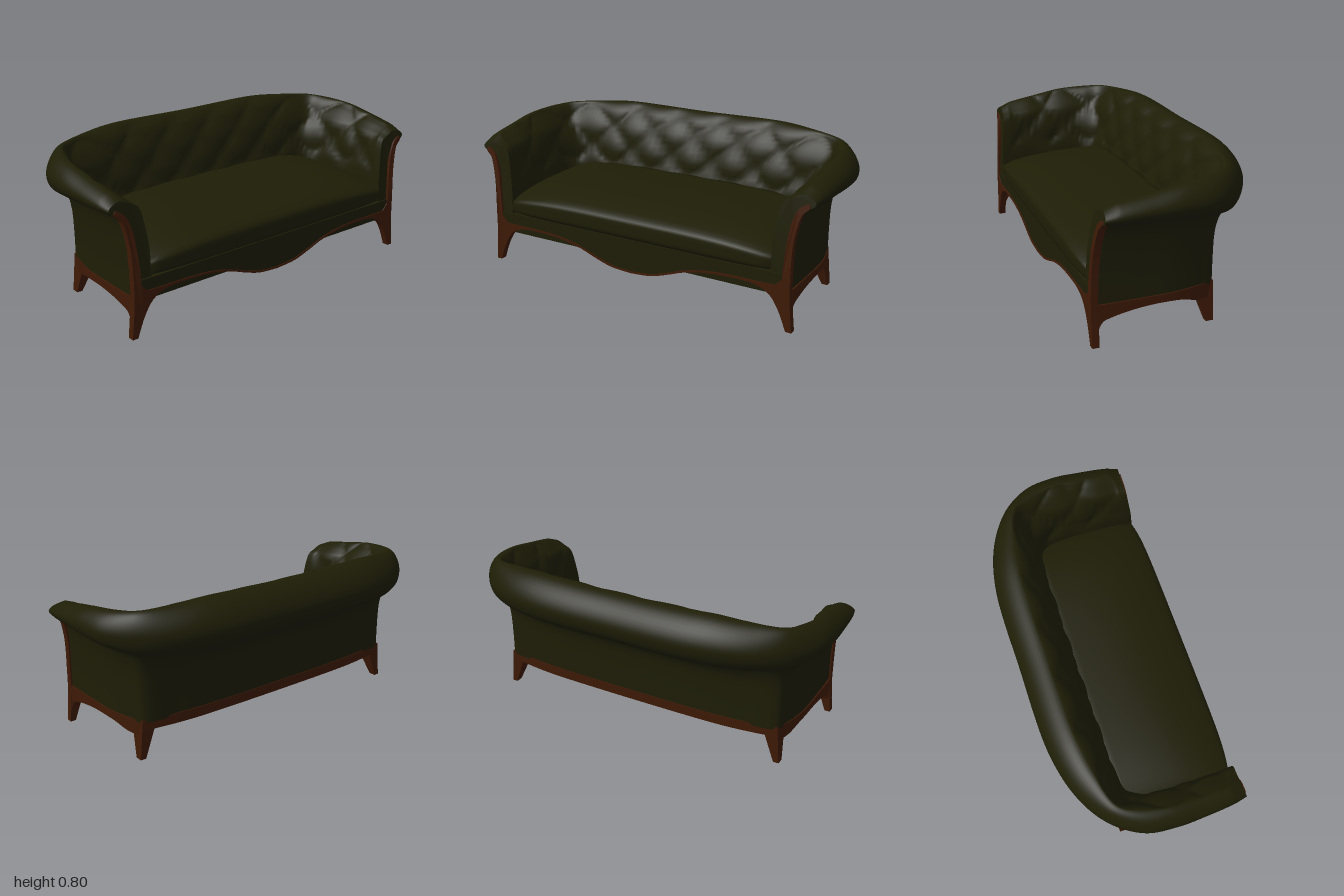
import * as THREE from 'three';
import { mergeVertices } from 'three/addons/utils/BufferGeometryUtils.js';

const fabric = new THREE.MeshStandardMaterial({ color: 0x1e1d06, side: THREE.DoubleSide });
fabric.name = 'olive fabric';
const wood = new THREE.MeshStandardMaterial({ color: 0x3e1a06 });
wood.name = 'brown wood';

const clamp = THREE.MathUtils.clamp;
const lean = (y) => 0.035 * (Math.max(0, y - 0.2) / 0.45) ** 2;
const sideX = (z) => 0.867 - (z < 0.1 ? 0.057 * ((0.1 - z) / 0.285) ** 2 : 0);

// Half-plan stations, front of the left arm to middle of the back:
// inner x,z / outer wall x,z / roll edge x,z / crest height, roll underside
const stations = [
  [0.77, 0.43, 0.864, 0.43, 0.965, 0.436, 0.668, 0.608],
  [0.77, 0.37, 0.865, 0.37, 0.98, 0.37, 0.695, 0.604],
  [0.77, 0.20, 0.867, 0.20, 0.995, 0.20, 0.722, 0.602],
  [0.765, 0.02, 0.863, 0.02, 1.0, 0.04, 0.748, 0.594],
  [0.75, -0.07, 0.838, -0.11, 0.978, -0.12, 0.76, 0.58],
  [0.70, -0.125, 0.81, -0.185, 0.88, -0.268, 0.77, 0.563],
  [0.58, -0.14, 0.62, -0.215, 0.72, -0.375, 0.785, 0.552],
  [0.40, -0.14, 0.42, -0.228, 0.48, -0.44, 0.797, 0.55],
  [0, -0.14, 0, -0.232, 0, -0.45, 0.792, 0.55],
];

// Section from inner seat line over the roll to the outer hem.
// offset: -1 inner, 0 wall, 1 roll edge; height from station values
const section = (H, L) => {
  const r = (k) => L + k * (H - L);
  return [[-1, 0.22], [-1, 0.42], [-0.9, 0.5], [-0.6, r(0.25)], [-0.2, r(0.62)], [0.1, r(0.87)],
    [0.35, H], [0.62, r(0.94)], [0.88, r(0.73)], [1, r(0.47)], [0.92, r(0.2)], [0.7, r(0.03)],
    [0.5, L], [0.3, L - 0.02], [0.15, L - 0.06], [0.04, 0.44], [0, 0.32], [0, 0.19]];
};

function buildShell() {
  const mirrored = stations.slice(0, -1).reverse()
    .map((s) => s.map((v, i) => (i < 6 && i % 2 === 0 ? -v : v)));
  const all = [...stations, ...mirrored];
  const curve = (a) => new THREE.CatmullRomCurve3(all.map((s) => new THREE.Vector3(s[a], 0, s[a + 1])));
  const [inner, wall, edge, heights] = [0, 2, 4, 6].map(curve);
  const N = 192, M = 60, pos = [], idx = [], rows = [];
  const lengths = inner.getLengths(1536), mid = lengths[768];
  for (let i = 0; i <= N; i++) {
    const t = i / N;
    const I = inner.getPoint(t), B = wall.getPoint(t), R = edge.getPoint(t), h = heights.getPoint(t);
    const out = R.clone().sub(B).normalize();
    const s = lengths[i * 8] - mid;
    const pts = section(h.x, h.z).map(([w, y]) => {
      const p = w < 0 ? B.clone().lerp(I, -w) : B.clone().lerp(R, w);
      p.y = y;
      p.z -= lean(y) * clamp(p.z / 0.4, 0, 1);
      return p;
    });
    const profile = new THREE.CatmullRomCurve3(pts);
    const row = [];
    for (let j = 0; j <= M; j++) {
      const v = j / M, p = profile.getPoint(v);
      // Diamond tufting on the inner face
      if (v < 0.36) {
        const a = s / 0.25 + p.y / 0.22, b = s / 0.25 - p.y / 0.22;
        const pillow = Math.sqrt(Math.abs(Math.sin(Math.PI * a) * Math.sin(Math.PI * b)));
        const fade = clamp((p.y - 0.42) / 0.06, 0, 1) * clamp((0.36 - v) / 0.06, 0, 1)
          * clamp((Math.min(t, 1 - t) - 0.04) / 0.06, 0, 1);
        p.addScaledVector(out, 0.026 * (1 - pillow) * fade);
      }
      row.push(p);
      pos.push(p.x, p.y, p.z);
      if (i < N && j < M) {
        const k = i * (M + 1) + j, n = k + M + 1;
        idx.push(k, n, k + 1, n, n + 1, k + 1);
      }
    }
    rows.push(row);
  }
  const shell = new THREE.BufferGeometry();
  shell.setAttribute('position', new THREE.Float32BufferAttribute(pos, 3));
  shell.setIndex(idx);
  shell.computeVertexNormals();
  // Flat closings at the arm fronts
  const caps = [rows[0], rows[N]].map((row) => {
    const flat = row.map((p) => new THREE.Vector2(p.x, p.y));
    const reverse = THREE.ShapeUtils.isClockWise(flat);
    const faces = THREE.ShapeUtils.triangulateShape(flat, []);
    const g = new THREE.BufferGeometry().setFromPoints(row);
    g.setIndex(faces.flatMap(([a, b, c]) => (reverse ? [a, c, b] : [a, b, c])));
    g.computeVertexNormals();
    return g;
  });
  return { shell, caps };
}

function bend(g, rule) {
  const p = g.attributes.position, v = new THREE.Vector3();
  for (let i = 0; i < p.count; i++) {
    rule(v.fromBufferAttribute(p, i));
    p.setXYZ(i, v.x, v.y, v.z);
  }
  g.computeVertexNormals();
  return g;
}

// Domed seat cushion with softened edges
function buildCushion() {
  const g = new THREE.BoxGeometry(2, 2, 2, 36, 8, 20);
  g.deleteAttribute('normal');
  g.deleteAttribute('uv');
  return bend(mergeVertices(g), (q) => {
    const { x: u, y: v, z: w } = q;
    const h = 0.12 - 0.04 * u ** 4 + 0.068 * (1 - 0.4 * u ** 8) * (1 - ((w + 1) / 2) ** 3);
    const tuck = 0.022 * v ** 6;
    q.set(u * (0.785 - 0.02 * Math.max(0, w) ** 8 - tuck * 0.5),
      0.28 + h * (v + 1) / 2,
      0.145 + w * 0.302 - (w > 0 ? w * (0.02 * u ** 8 + tuck) : 0));
  });
}

const vec = (list) => list.map(([x, y]) => new THREE.Vector2(x, y));
const smooth = (list, n = 32) => new THREE.SplineCurve(vec(list)).getPoints(n);
const extrude = (points, depth) => new THREE.ExtrudeGeometry(new THREE.Shape(points),
  { depth, bevelEnabled: false });

const apronLine = [[0, 0.105], [0.12, 0.115], [0.22, 0.145], [0.32, 0.18], [0.45, 0.205],
  [0.6, 0.212], [0.7, 0.205], [0.77, 0.172], [0.82, 0.1], [0.86, 0]];

export function createModel() {
  const model = new THREE.Group();
  model.name = 'sofa';
  const add = (name, geometry, material) => {
    const m = new THREE.Mesh(geometry, material);
    m.name = name;
    model.add(m);
    return m;
  };

  // Upholstery
  const { shell, caps } = buildShell();
  add('backAndArms', shell, fabric);
  caps.forEach((c, i) => add(i ? 'rightArmFront' : 'leftArmFront', c, fabric));
  add('seatCushion', buildCushion(), fabric);
  add('seatBase', new THREE.BoxGeometry(1.58, 0.117, 0.575), fabric).position.set(0, 0.2235, 0.1225);
  add('backRailLining', new THREE.BoxGeometry(1.5, 0.05, 0.006), fabric).position.set(0, 0.176, -0.159);

  // Wooden panel with rounded corners under the seat
  const panel = new THREE.Shape();
  panel.absarc(0.64, -0.16, 0.1, -Math.PI / 2, 0);
  panel.absarc(0.64, 0.055, 0.1, 0, Math.PI / 2);
  panel.absarc(-0.64, 0.055, 0.1, Math.PI / 2, Math.PI);
  panel.absarc(-0.64, -0.16, 0.1, Math.PI, Math.PI * 1.5);
  const underside = new THREE.ExtrudeGeometry(panel, { depth: 0.004, bevelEnabled: false });
  add('underside', underside.rotateX(-Math.PI / 2), wood).position.y = 0.162;

  // Serpentine front apron
  const hem = smooth(apronLine.slice(0, 8)).map((p) => [p.x, p.y + 0.006]);
  const apron = [...hem.slice(1).reverse().map(([x, y]) => [-x, y]), ...hem,
    [0.845, 0.2], [0.845, 0.283], [-0.845, 0.283], [-0.845, 0.2]];
  add('frontApron', extrude(vec(apron), 0.04), fabric).position.z = 0.396;

  for (const side of [1, -1]) {
    const label = side > 0 ? 'left' : 'right';

    // Front leg, apron moulding and arm facing in one curved piece
    const outer = smooth([[0.89, 0], [0.88, 0.1], [0.873, 0.2], [0.874, 0.4], [0.885, 0.5],
      [0.905, 0.575], [0.93, 0.602], [0.942, 0.617], [0.932, 0.632]]);
    const facing = smooth([[0.915, 0.626], [0.883, 0.595], [0.856, 0.52], [0.841, 0.4], [0.832, 0.26]]);
    const moulding = smooth([[0.8, 0.225], [0.7, 0.223], [0.6, 0.223], [0.45, 0.215], [0.32, 0.19],
      [0.22, 0.155], [0.12, 0.125], [0, 0.114]]);
    const outline = [...smooth(apronLine), ...outer, ...facing, ...moulding];
    const frame = extrude(outline.map((p) => new THREE.Vector2(p.x * side, p.y)), 0.035);
    add(label + 'FrontLegAndFacing', bend(frame, (v) => { v.z += 0.406 - lean(v.y); }), wood);

    // Arched side rail following the wall
    const arch = new THREE.SplineCurve(vec([[0.408, 0.07], [0.39, 0.108], [0.36, 0.127], [0.25, 0.15],
      [0.12, 0.161], [0, 0.155], [-0.1, 0.127], [-0.186, 0.12]]));
    const rail = bend(new THREE.BoxGeometry(1, 1, 1, 1, 1, 32), (v) => {
      const p = arch.getPoint(0.5 - v.z);
      v.x = side * (sideX(p.x) + (v.x * side > 0 ? 0.006 : -0.03));
      v.y = v.y > 0 ? 0.202 : p.y;
      v.z = p.x;
    });
    add(label + 'SideRail', rail, wood);

    // Tapered, splayed back leg
    const leg = bend(new THREE.BoxGeometry(1, 1, 1), (v) => {
      const k = v.y + 0.5;
      const inX = 0.808 - 0.075 * k, outX = 0.838 - 0.02 * k;
      const frontZ = -0.15 + 0.06 * k, backZ = -0.189;
      v.x = v.x * side > 0 ? side * outX : side * inX;
      v.z = v.z > 0 ? frontZ : backZ;
      v.y = k * 0.2;
    });
    add(label + 'BackLeg', leg, wood);
  }

  // Bowed back rail
  const bow = smooth([[-0.814, 0.189], [-0.62, 0.219], [-0.42, 0.232], [0, 0.236],
    [0.42, 0.232], [0.62, 0.219], [0.814, 0.189]]);
  const back = extrude([...bow, ...vec([[0.78, 0.162], [-0.78, 0.162]])], 0.052);
  add('backRail', back.rotateX(-Math.PI / 2), wood).position.y = 0.15;

  return model;
}
